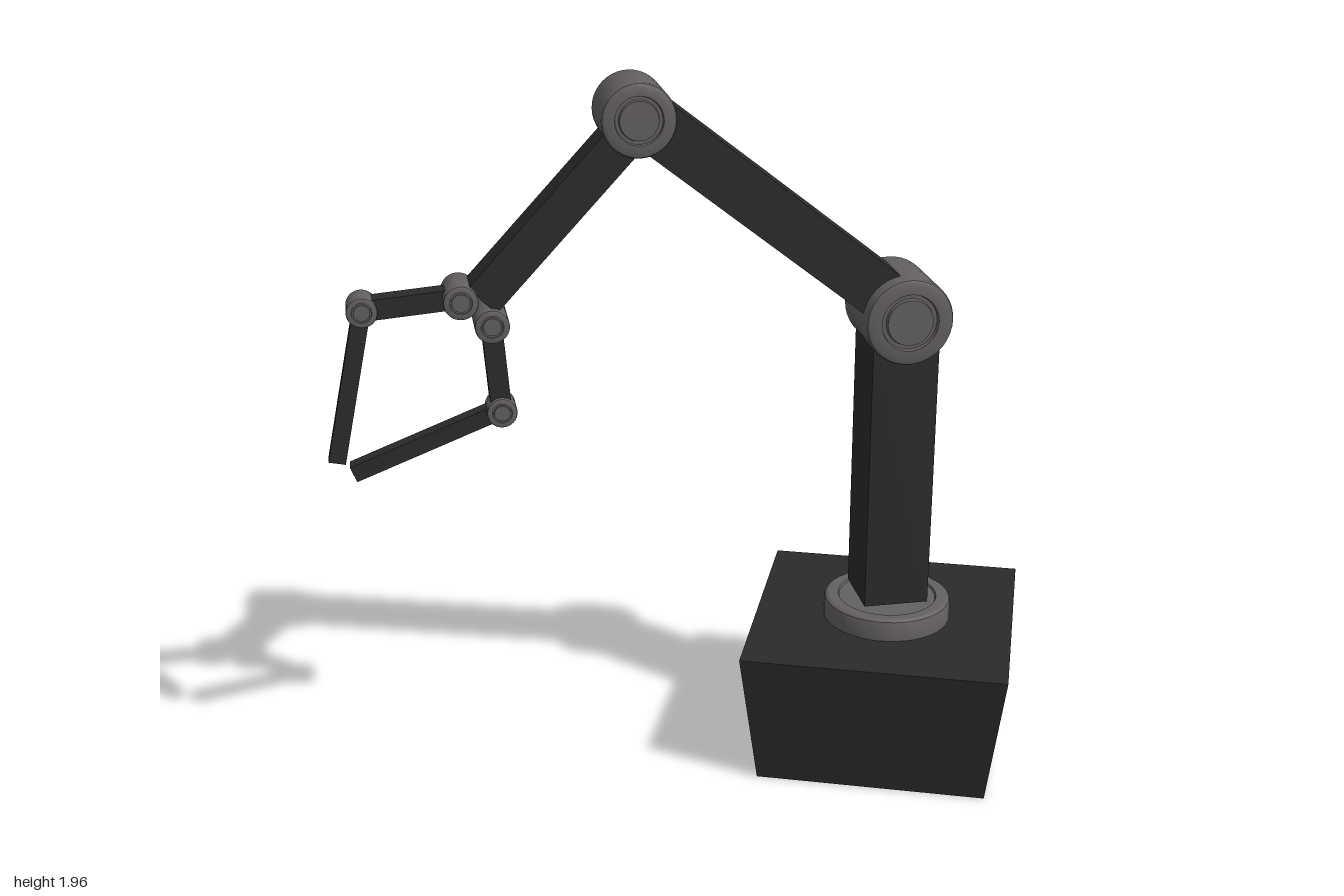
import * as THREE from 'three';
import { toCreasedNormals } from 'three/addons/utils/BufferGeometryUtils.js';

const dark = new THREE.MeshStandardMaterial({ color: 0x2a2c2c });
const grey = new THREE.MeshStandardMaterial({ color: 0x646062 });

export function createModel() {
  const model = new THREE.Group();

  const add = (name, geometry, material, x, y, z = 0) => {
    const mesh = new THREE.Mesh(geometry, material);
    mesh.name = name;
    mesh.position.set(x, y, z);
    model.add(mesh);
    return mesh;
  };

  const lathe = (points, segments) => toCreasedNormals(
    new THREE.LatheGeometry(points.map(([r, h]) => new THREE.Vector2(r, h)), segments), 0.5);

  // Pivot drum along z: bevelled rims and a ring groove in both end caps
  const joint = (name, x, y, r, half) => {
    const b = r * 0.1;
    const cap = [[0, half], [r * 0.52, half], [r * 0.54, half - b], [r * 0.63, half - b],
      [r * 0.65, half], [r - b, half], [r - b * 0.3, half - b * 0.3], [r, half - b]];
    const profile = [...cap.map(([a, h]) => [a, -h]), ...cap.reverse()];
    add(name, lathe(profile, 40), grey, x, y).rotation.x = Math.PI / 2;
  };

  // Square beam between two points in the xy plane
  const beam = (name, [x1, y1], [x2, y2], thick, depth) => {
    const length = Math.hypot(x2 - x1, y2 - y1);
    const mesh = add(name, new THREE.BoxGeometry(length, thick, depth), dark,
      (x1 + x2) / 2, (y1 + y2) / 2);
    mesh.rotation.z = Math.atan2(y2 - y1, x2 - x1);
  };

  // Tapered square base, turned about the vertical
  const base = new THREE.CylinderGeometry(0.515, 0.45, 0.388, 4, 1, false, THREE.MathUtils.degToRad(24));
  add('base', toCreasedNormals(base, 0.3), dark, 0.53, 0.194);

  // Turntable with a bevelled rim and a short neck
  add('turntable', lathe([[0.18, 0], [0.18, 0.05], [0.177, 0.058], [0.168, 0.063],
    [0.14, 0.063], [0.137, 0.057], [0, 0.057]], 48), grey, 0.535, 0.387);
  add('neck', new THREE.CylinderGeometry(0.05, 0.05, 0.03, 32), dark, 0.535, 0.452);

  // Main arm
  beam('column', [0.535, 0.46], [0.535, 1.3], 0.183, 0.183);
  joint('shoulderJoint', 0.535, 1.3, 0.12, 0.12);
  beam('upperArm', [0.542, 1.31], [-0.172, 1.869], 0.138, 0.15);
  joint('elbowJoint', -0.18, 1.86, 0.096, 0.097);
  beam('forearm', [-0.183, 1.833], [-0.585, 1.402], 0.1, 0.1);

  // Gripper: two fingers, each with a root joint, link, knuckle and tip
  const fingers = [
    { name: 'upper', root: [-0.64, 1.405], knuckle: [-0.89, 1.385], tip: [-0.98, 0.973] },
    { name: 'lower', root: [-0.563, 1.337], knuckle: [-0.545, 1.09], tip: [-0.94, 0.938] },
  ];
  for (const { name, root, knuckle, tip } of fingers) {
    joint(name + 'FingerRoot', ...root, 0.045, 0.068);
    beam(name + 'FingerLink', root, knuckle, 0.054, 0.056);
    joint(name + 'FingerKnuckle', ...knuckle, 0.04, 0.041);
    beam(name + 'FingerTip', knuckle, tip, 0.045, 0.045);
  }

  return model;
}
